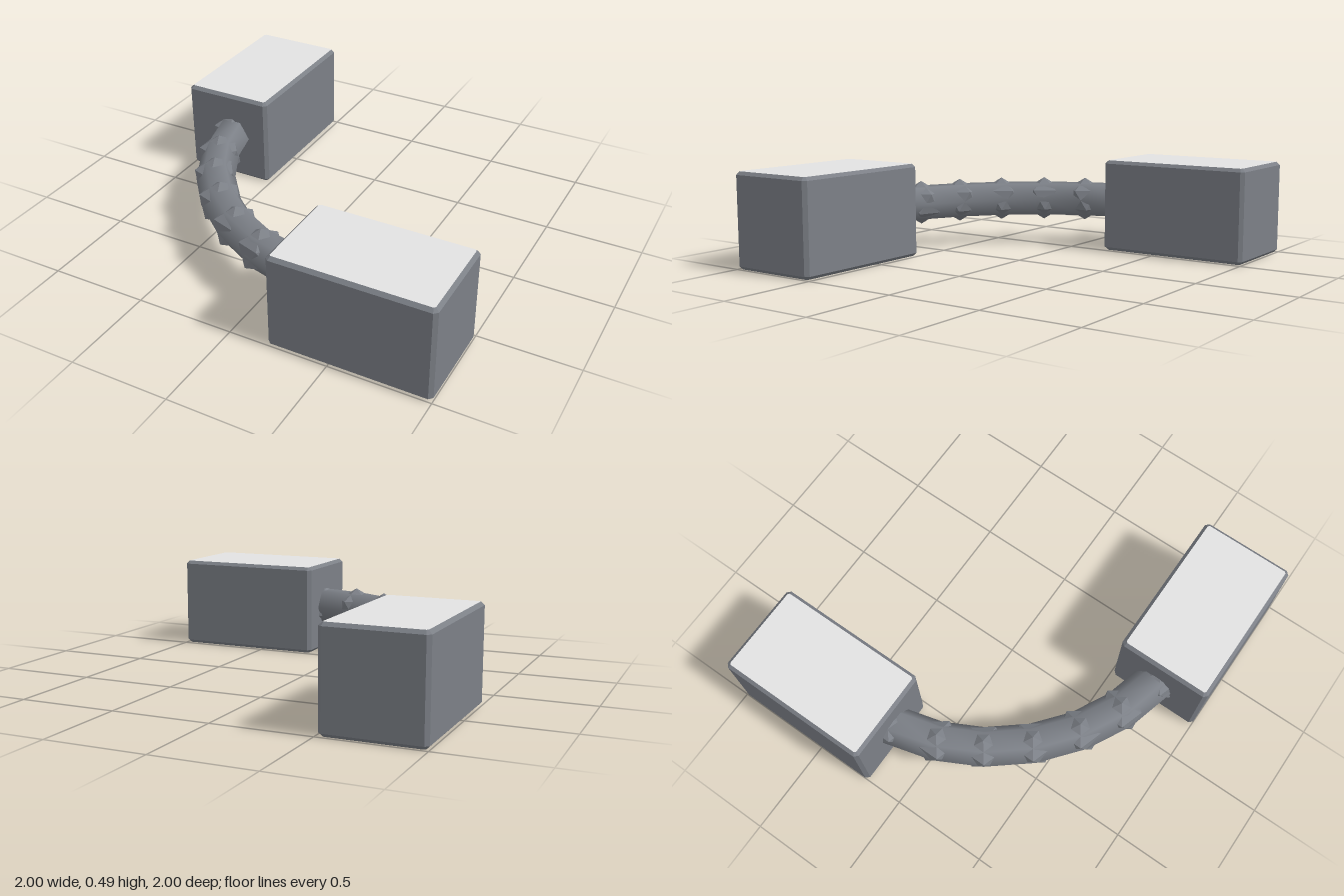
import * as THREE from 'three';

const BODY = new THREE.MeshStandardMaterial({ color: 0x7c8087 });
BODY.name = 'slate grey';
const CAP = new THREE.MeshStandardMaterial({ color: 0xe2e2e2 });
CAP.name = 'light grey';

const HEIGHT = 0.488, BEVEL = 0.017, AXIS_Y = 0.247;

// Chamfered block: light top and bottom, dark sides and bevels
function makeBlock(name, width, depth, x, z) {
  const w = width / 2 - BEVEL, d = depth / 2 - BEVEL, c = 0.008;
  const shape = new THREE.Shape([
    [w - c, -d], [w, -d + c], [w, d - c], [w - c, d],
    [-w + c, d], [-w, d - c], [-w, -d + c], [-w + c, -d],
  ].map(([px, py]) => new THREE.Vector2(px, py)));
  const geometry = new THREE.ExtrudeGeometry(shape, {
    depth: HEIGHT - 2 * BEVEL, bevelEnabled: true, bevelSegments: 1,
    bevelSize: BEVEL, bevelThickness: BEVEL,
  });
  geometry.translate(0, 0, BEVEL).rotateX(-Math.PI / 2);
  const mesh = new THREE.Mesh(geometry, [CAP, BODY]);
  mesh.name = name;
  mesh.position.set(x, 0, z);
  return mesh;
}

// Smooth-shaded tube mitred at every joint, flat side up
function makeTube(points, radius, sides) {
  const position = [], index = [];
  points.forEach((p, i) => {
    const before = points[Math.max(i - 1, 0)];
    const after = points[Math.min(i + 1, points.length - 1)];
    const tangent = after.clone().sub(before).normalize();
    const side = new THREE.Vector3(-tangent.z, 0, tangent.x);
    for (let j = 0; j < sides; j++) {
      const a = (j / sides) * Math.PI * 2;
      const v = p.clone().addScaledVector(side, Math.cos(a) * radius);
      position.push(v.x, v.y + Math.sin(a) * radius, v.z);
      if (i === 0) continue;
      const k = (j + 1) % sides, r0 = (i - 1) * sides, r1 = i * sides;
      index.push(r0 + j, r1 + j, r0 + k, r0 + k, r1 + j, r1 + k);
    }
  });
  const geometry = new THREE.BufferGeometry();
  geometry.setAttribute('position', new THREE.Float32BufferAttribute(position, 3));
  geometry.setIndex(index);
  geometry.computeVertexNormals();
  const mesh = new THREE.Mesh(geometry, BODY);
  mesh.name = 'bentTube';
  return mesh;
}

export function createModel() {
  const group = new THREE.Group();
  group.name = 'jointedElbow';

  // End blocks
  group.add(makeBlock('backBlock', 0.488, 0.804, -0.756, -0.598));
  group.add(makeBlock('frontBlock', 0.804, 0.488, 0.598, 0.756));

  // Joints along a quarter bend, mirrored about its diagonal
  const half = [[-0.738, -0.225], [-0.672, 0.02], [-0.565, 0.225], [-0.412, 0.412]];
  const bend = [...half, ...half.slice(0, 3).reverse().map(([x, z]) => [-z, -x])];
  const joints = bend.map(([x, z]) => new THREE.Vector3(x, AXIS_Y, z));
  group.add(makeTube(joints, 0.101, 6));

  // Faceted knuckles, one vertex pointing straight up
  const knuckle = new THREE.IcosahedronGeometry(0.118, 0);
  knuckle.rotateZ(-Math.atan(2 / (1 + Math.sqrt(5))));
  joints.forEach((p, i) => {
    const mesh = new THREE.Mesh(knuckle, BODY);
    mesh.name = `knuckle${i + 1}`;
    mesh.position.copy(p);
    group.add(mesh);
  });
  return group;
}
